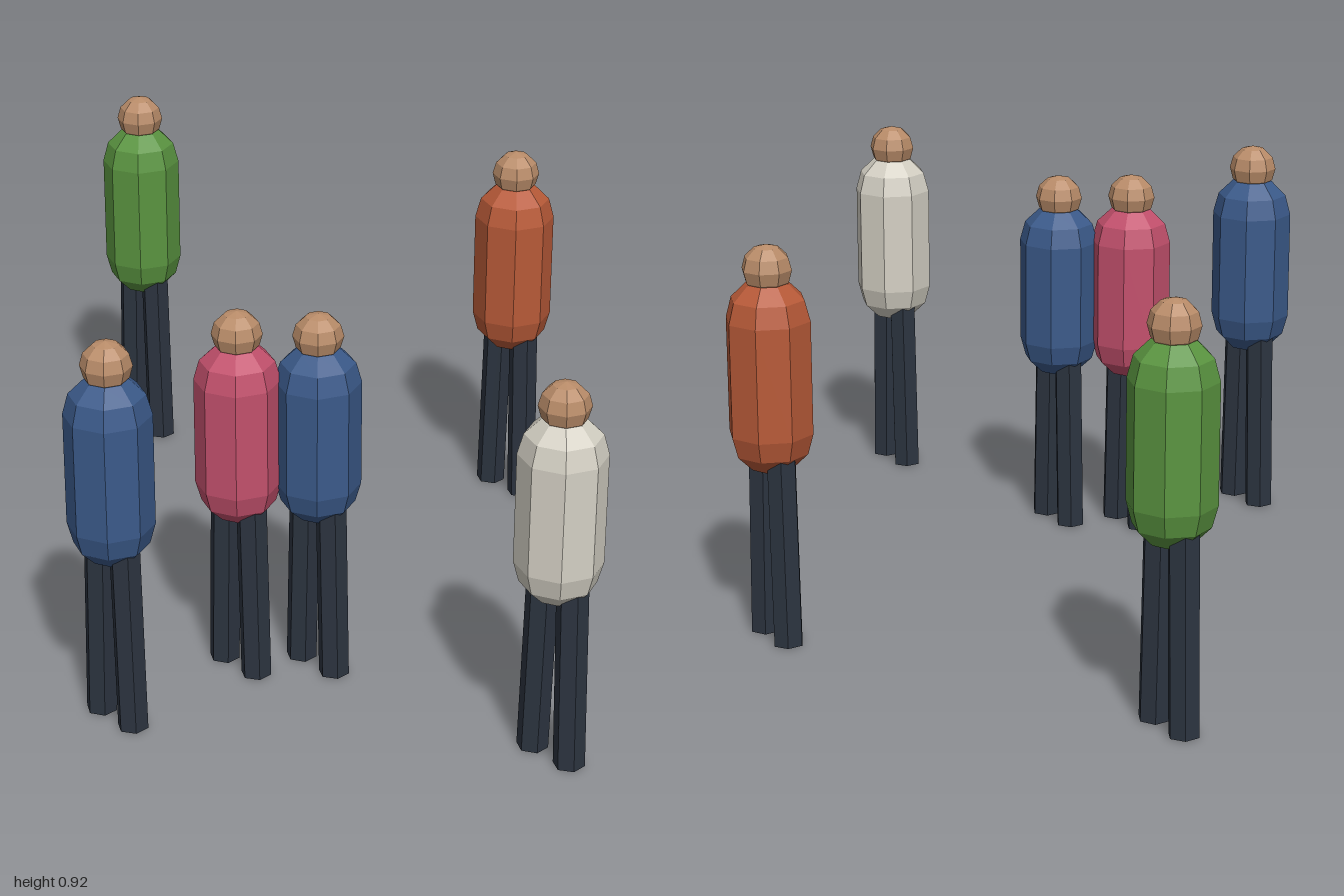
import * as THREE from 'three';

const mat = (name, color) => {
  const m = new THREE.MeshStandardMaterial({ color, flatShading: true });
  m.name = name;
  return m;
};

export function createModel() {
  const skin = mat('skin', 0xb98c69);
  const trousers = mat('dark trousers', 0x2c3440);
  const blue = mat('blue coat', 0x3b5a8a);
  const green = mat('green coat', 0x5a9440);
  const orange = mat('orange coat', 0xb85a38);
  const pink = mat('pink coat', 0xc2506c);
  const cream = mat('cream coat', 0xd4d0c4);

  // Shared low-poly shapes
  const coatGeo = new THREE.CapsuleGeometry(0.095, 0.26, 3, 8);
  const headGeo = new THREE.SphereGeometry(0.056, 8, 6);
  const legGeo = new THREE.CylinderGeometry(0.035, 0.035, 0.46, 6);

  const makePerson = (coat, height) => {
    const person = new THREE.Group();
    const add = (name, geo, material, x, y) => {
      const m = new THREE.Mesh(geo, material);
      m.name = name;
      m.position.set(x, y, 0);
      person.add(m);
      return m;
    };
    add('coat', coatGeo, coat, 0, 0.62);
    add('head', headGeo, skin, 0, 0.864);
    // Legs splay slightly towards the feet
    for (const s of [-1, 1]) {
      const leg = add(s > 0 ? 'leftLeg' : 'rightLeg', legGeo, trousers, s * 0.047, 0.231);
      leg.rotation.z = s * 0.025;
    }
    person.scale.y = height / 0.92;
    return person;
  };

  // Standing crowd: coat, x, z, height
  const crowd = [
    [green, -0.905, -0.28, 0.92],
    [orange, -0.025, -0.718, 0.9],
    [cream, 0.902, 0.141, 0.888],
    [blue, 0.281, 0.238, 0.868],
    [pink, 0.164, 0.368, 0.876],
    [blue, 0.143, 0.715, 0.908],
  ];
  const group = new THREE.Group();
  group.name = 'crowd';
  crowd.forEach(([coat, x, z, height], i) => {
    const person = makePerson(coat, height);
    person.name = `person${i + 1}`;
    person.position.set(x, 0, z);
    group.add(person);
  });
  return group;
}
